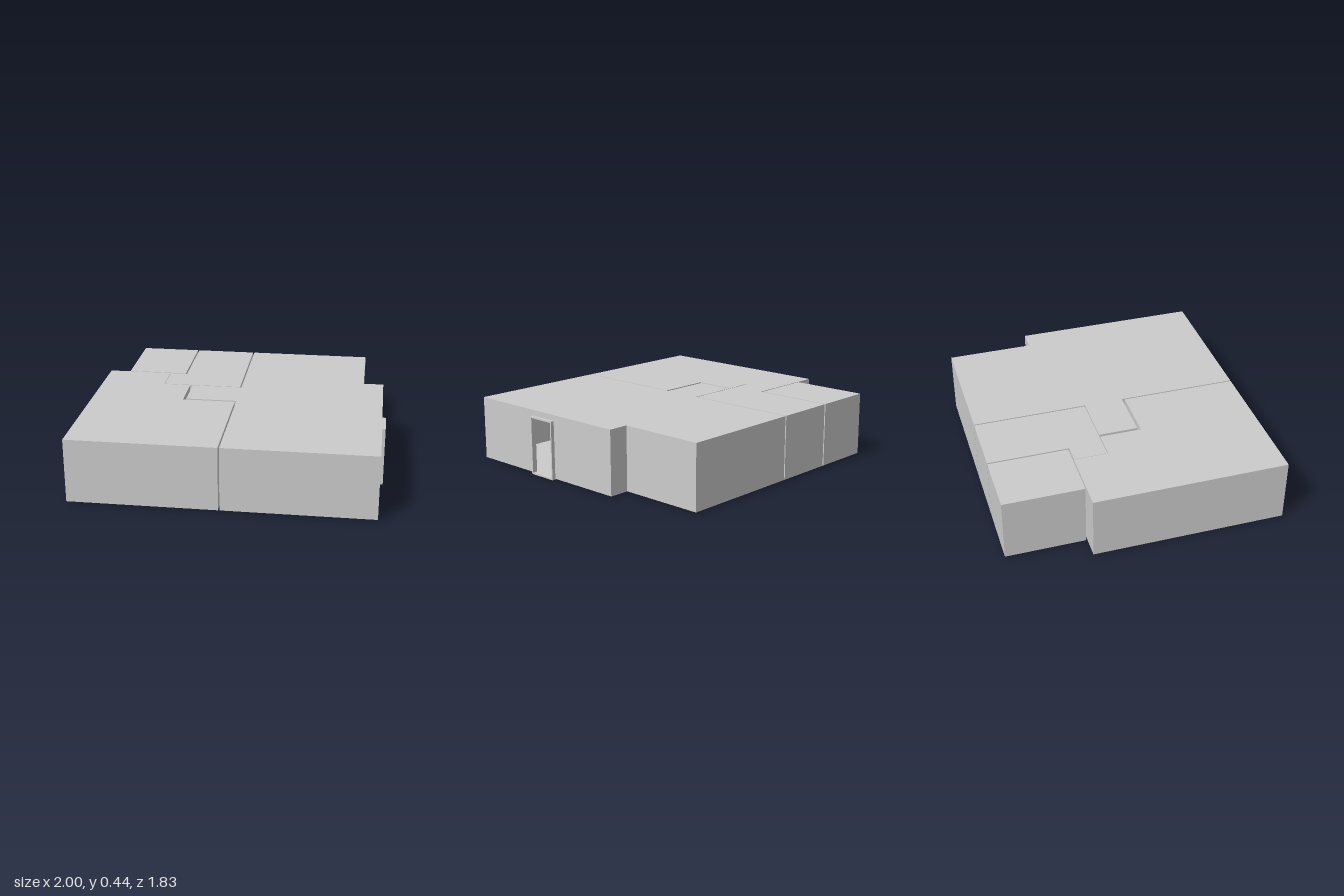
import * as THREE from 'three';
import { mergeGeometries } from 'three/addons/utils/BufferGeometryUtils.js';

const FLOOR = 0.012, CEILING = 0.44, BORDER = 0.01;
const material = new THREE.MeshStandardMaterial({ color: 0xcccccc, side: THREE.DoubleSide, flatShading: true });

// Doorways: the wall runs along 'run'; 'at' is the frame's centre across the wall
const doors = [
  { name: 'entranceDoorFrame', run: 'z', at: 0.983, from: 0.19, to: 0.395, bottom: 0.007, top: 0.4, depth: 0.034 },
  { name: 'backDoorFrame', run: 'z', at: -0.444, from: -0.625, to: -0.42, bottom: 0, top: 0.4, depth: 0.03 },
  { name: 'closetDoorFrame', run: 'z', at: -0.367, from: -0.12, to: 0.09, bottom: 0.007, top: 0.4, depth: 0.034 },
  { name: 'hallDoorFrame', run: 'x', at: -0.15, from: -0.33, to: -0.12, bottom: 0.007, top: 0.4, depth: 0.034 },
];

// Room footprints as [x, z] corners
const rooms = {
  leftRoom: [[-1, -0.376], [-0.561, -0.376], [-0.561, -0.147], [-0.377, -0.147], [-0.377, 0.134],
    [-0.021, 0.134], [-0.021, 0.915], [-1, 0.915]],
  hall: [[-0.559, -0.374], [-0.439, -0.374], [-0.439, -0.915], [-0.021, -0.915], [-0.021, -0.153], [-0.559, -0.153]],
  backRoom: [[-0.86, -0.915], [-0.449, -0.915], [-0.449, -0.384], [-0.86, -0.384]],
  mainRoom: [[-0.012, -0.915], [0.838, -0.915], [0.838, -0.335], [0.976, -0.335], [0.976, 0.915],
    [-0.012, 0.915], [-0.012, 0.115], [-0.357, 0.115], [-0.357, -0.147], [-0.012, -0.147]],
};

// Rectangle outline between two corners
function corners(x0, y0, x1, y1) {
  return [[x0, y0], [x1, y0], [x1, y1], [x0, y1]].map(([x, y]) => new THREE.Vector2(x, y));
}

// Opening left inside a door frame
function opening(d) {
  return new THREE.Path(corners(d.from + BORDER, FLOOR + 0.005, d.to - BORDER, d.top - BORDER));
}

// Turns a drawing in (run, height) into a wall at the given place
function stand(geometry, run, at) {
  if (run === 'z') geometry.rotateY(-Math.PI / 2);
  return geometry.translate(run === 'z' ? at : 0, 0, run === 'x' ? at : 0);
}

// One straight wall with its doorways cut out
function wall(a, b) {
  const run = Math.abs(a[0] - b[0]) < 1e-6 ? 'z' : 'x';
  const along = run === 'x' ? 0 : 1;
  const at = a[1 - along];
  const lo = Math.min(a[along], b[along]), hi = Math.max(a[along], b[along]);
  const shape = new THREE.Shape(corners(lo, FLOOR, hi, CEILING));
  for (const d of doors) {
    if (d.run === run && Math.abs(d.at - at) < 0.02 && lo < d.from && hi > d.to) shape.holes.push(opening(d));
  }
  return stand(new THREE.ShapeGeometry(shape), run, at);
}

// Hollow room: floor, ceiling and walls around the footprint
function room(name, points) {
  const plan = new THREE.Shape(points.map(([x, z]) => new THREE.Vector2(x, -z)));
  const ceiling = new THREE.ShapeGeometry(plan).rotateX(-Math.PI / 2).translate(0, CEILING, 0);
  const floor = new THREE.ShapeGeometry(plan).rotateX(-Math.PI / 2).translate(0, FLOOR, 0);
  const walls = points.map((p, i) => wall(p, points[(i + 1) % points.length]));
  const mesh = new THREE.Mesh(mergeGeometries([ceiling, floor, ...walls]), material);
  mesh.name = name;
  return mesh;
}

// Rectangular frame reaching through the wall
function doorFrame(d) {
  const shape = new THREE.Shape(corners(d.from, d.bottom, d.to, d.top));
  shape.holes.push(opening(d));
  const geometry = new THREE.ExtrudeGeometry(shape, { depth: d.depth, bevelEnabled: false });
  geometry.translate(0, 0, -d.depth / 2);
  const mesh = new THREE.Mesh(stand(geometry, d.run, d.at), material);
  mesh.name = d.name;
  return mesh;
}

export function createModel() {
  const model = new THREE.Group();
  model.name = 'apartment';
  for (const [name, points] of Object.entries(rooms)) model.add(room(name, points));
  for (const d of doors) model.add(doorFrame(d));
  return model;
}
